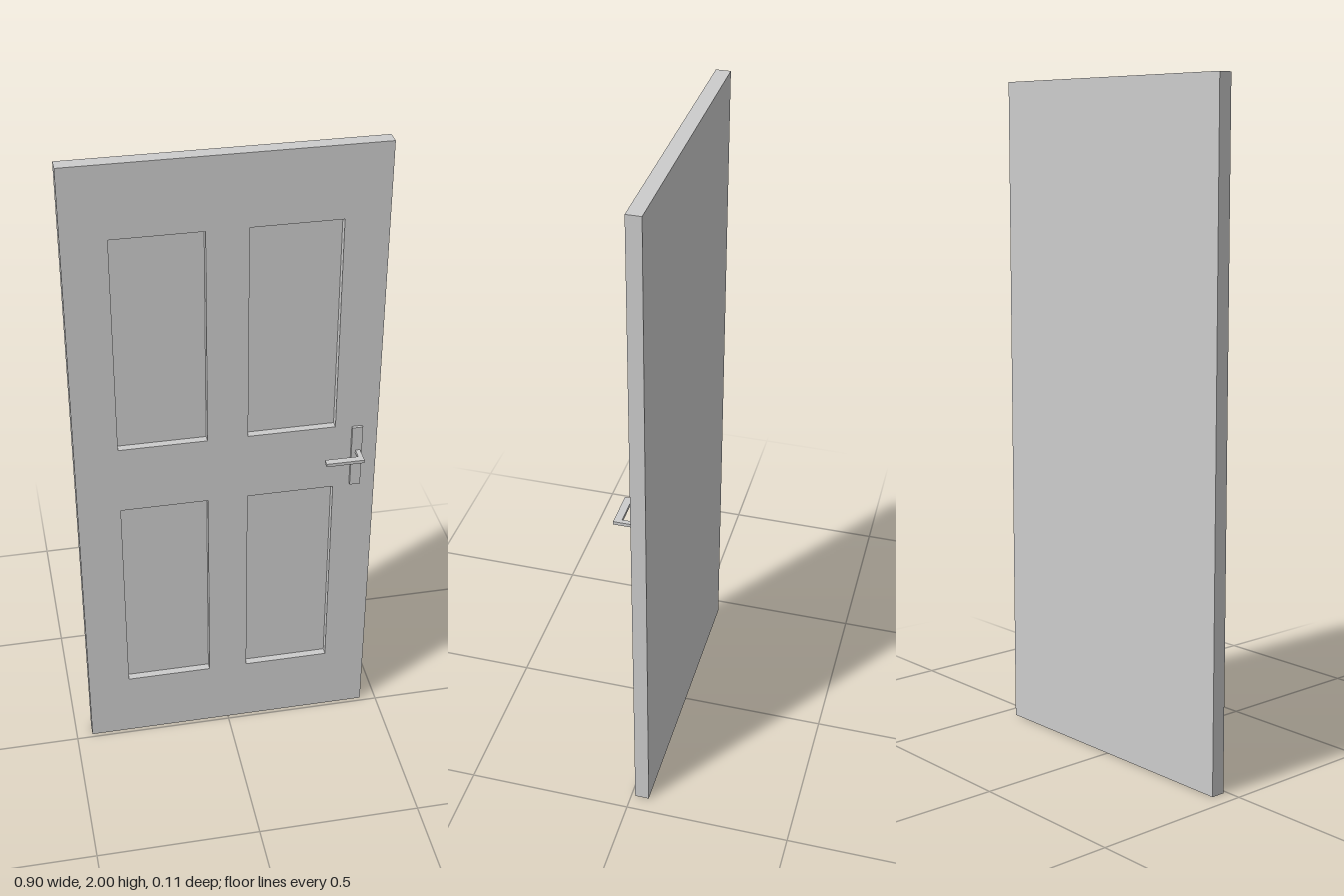
import * as THREE from 'three';

const material = new THREE.MeshStandardMaterial({ color: 0xcccccc, flatShading: true });

function addMesh(group, name, geometry) {
  const mesh = new THREE.Mesh(geometry, material);
  mesh.name = name;
  group.add(mesh);
  return mesh;
}

// Box given by its minimum and maximum corners
function boxBetween(min, max) {
  const size = max.map((v, i) => v - min[i]);
  const mid = max.map((v, i) => (v + min[i]) / 2);
  return new THREE.BoxGeometry(...size).translate(...mid);
}

function rectangle(path, x0, y0, x1, y1) {
  path.moveTo(x0, y0);
  path.lineTo(x1, y0);
  path.lineTo(x1, y1);
  path.lineTo(x0, y1);
  path.closePath();
  return path;
}

export function createModel() {
  const door = new THREE.Group();
  door.name = 'door';
  const back = -0.055, front = -0.012, recess = 0.023;

  // Solid backing that forms the floor of the recessed panels
  addMesh(door, 'doorBacking', boxBetween([-0.45, 0, back], [0.45, 2, front - recess]));

  // Front frame with four rectangular panel openings
  const frame = rectangle(new THREE.Shape(), -0.45, 0, 0.45, 2);
  for (const x of [-0.322, 0.06]) {
    for (const y of [0.22, 1.11]) {
      frame.holes.push(rectangle(new THREE.Path(), x, y, x + 0.262, y + 0.674));
    }
  }
  const frameGeometry = new THREE.ExtrudeGeometry(frame, { depth: recess, bevelEnabled: false });
  addMesh(door, 'panelFrame', frameGeometry.translate(0, 0, front - recess));

  // Backplate and lever
  const handle = new THREE.Group();
  handle.name = 'handle';
  door.add(handle);
  addMesh(handle, 'handlePlate', boxBetween([0.372, 0.9, front], [0.404, 1.105, -0.003]));

  // L-shaped lever outline in x and -z, extruded upward
  const outline = [[0.384, -0.003], [0.398, -0.003], [0.398, 0.053], [0.283, 0.053], [0.283, 0.031], [0.384, 0.031]];
  const lever = new THREE.Shape(outline.map(([x, z]) => new THREE.Vector2(x, -z)));
  const leverGeometry = new THREE.ExtrudeGeometry(lever, { depth: 0.01, bevelEnabled: false });
  addMesh(handle, 'handleLever', leverGeometry.rotateX(-Math.PI / 2).translate(0, 1.015, 0));

  return door;
}
